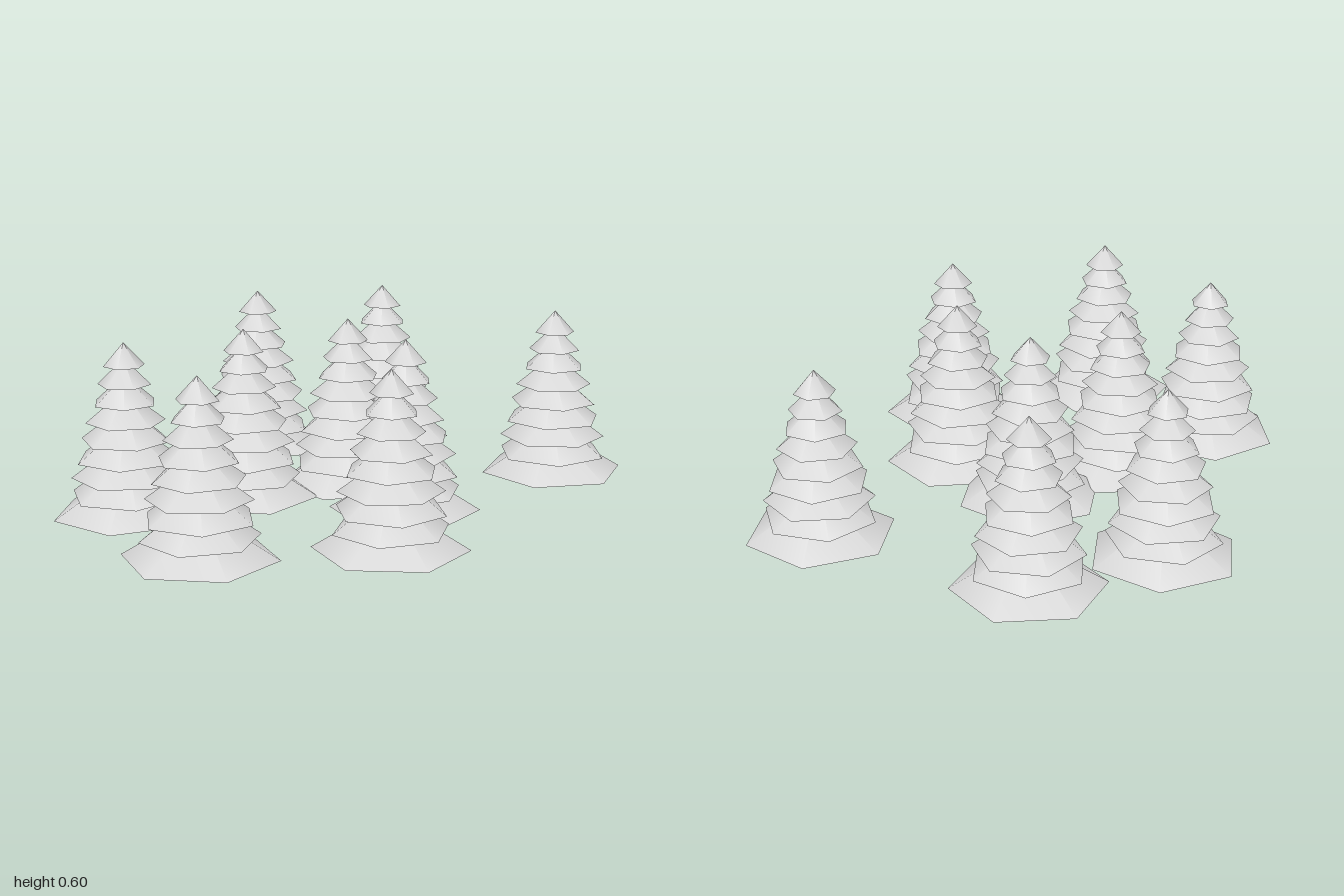
import * as THREE from 'three';

// x, z and heading (degrees) of each tree
const TREES = [
  [-0.40, -0.625, -17], [0.07, -0.777, 2], [0.727, -0.33, -15],
  [-0.015, -0.13, -15], [-0.365, 0.07, 3], [-0.74, 0.317, 33],
  [0.207, 0.197, 0], [0.183, 0.637, 0], [-0.42, 0.77, 3],
];

// rim radius of each tier of branches, from the ground up
const RIMS = [0.262, 0.2, 0.19, 0.177, 0.157, 0.137, 0.113, 0.092, 0.072];
const SPACING = 0.065;
const TWIST = 22;

export function createModel() {
  const model = new THREE.Group();
  model.name = 'forest';
  const paleGrey = new THREE.MeshStandardMaterial({ color: 0xd9d9d9, side: THREE.DoubleSide });
  paleGrey.name = 'pale grey';

  // hollow six-sided cones, steeper toward the top, shared by all trees
  const last = RIMS.length - 1;
  const tierGeometries = RIMS.map((rim, i) => {
    const height = THREE.MathUtils.lerp(0.16, 0.08, i / last);
    const geometry = new THREE.ConeGeometry(rim, height, 6, 1, true);
    return geometry.translate(0, i * SPACING + height / 2, 0);
  });

  TREES.forEach(([x, z, heading], n) => {
    const tree = new THREE.Group();
    tree.name = `tree${n + 1}`;
    tree.position.set(x, 0, z);
    tierGeometries.forEach((geometry, i) => {
      const tier = new THREE.Mesh(geometry, paleGrey);
      tier.name = i === last ? 'treeTop' : `branchTier${i + 1}`;
      // each tier is turned a little against the one below
      tier.rotation.y = THREE.MathUtils.degToRad(30 - heading + i * TWIST);
      tree.add(tier);
    });
    model.add(tree);
  });
  return model;
}
